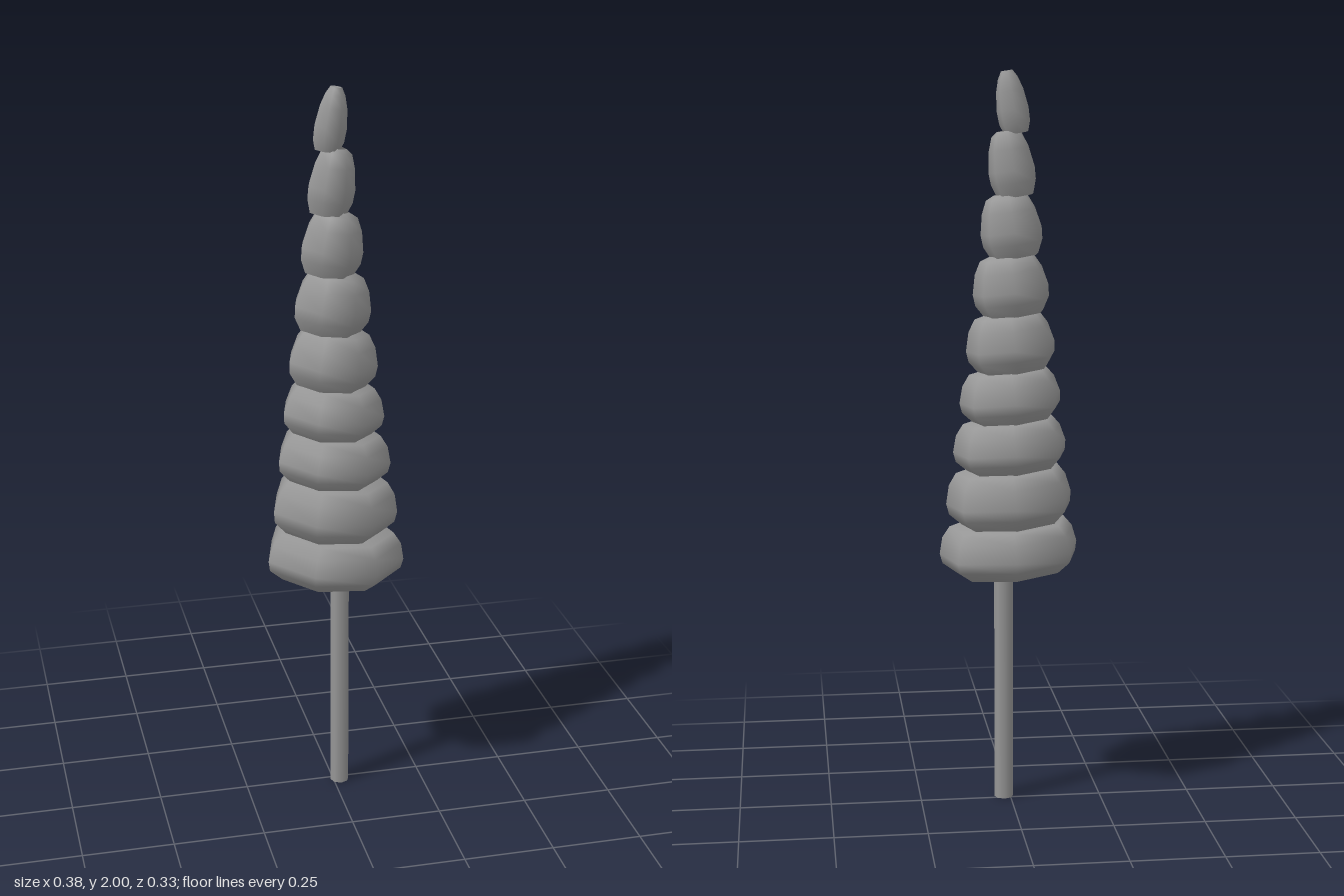
import * as THREE from 'three';

export function createModel() {
  const group = new THREE.Group();
  group.name = 'tieredTree';
  const material = new THREE.MeshStandardMaterial({ color: 0x969696, side: THREE.DoubleSide });

  // Trunk, slightly off centre
  const trunk = new THREE.Mesh(new THREE.CylinderGeometry(0.026, 0.026, 0.8, 8), material);
  trunk.name = 'trunk';
  trunk.position.set(0.018, 0.4, 0.013);
  group.add(trunk);

  // Unit profiles: [radius ratio, height ratio]; a repeated point makes a sharp edge
  const tierProfile = (top) => [
    [0.77, 0], [0.97, 0.22], [1, 0.42], [(1 + top) / 2 + 0.03, 0.76], [top, 0.98], [0.4, 1.05],
  ];
  const tipProfile = [
    [0.74, 0], [0.96, 0.16], [1, 0.38], [0.85, 0.68], [0.62, 0.88], [0.36, 1], [0.36, 1], [0, 1],
  ];
  const lathe = (profile) =>
    new THREE.LatheGeometry(profile.map(([r, y]) => new THREE.Vector2(r, y)), 7, Math.PI);

  // Foliage tiers: seven-sided bulges, shrinking upward and tipped towards +x
  const bottoms = [0.65, 0.785, 0.935, 1.07, 1.205, 1.355, 1.51, 1.67, 1.835, 1.999];
  const radii = [0.195, 0.177, 0.159, 0.142, 0.124, 0.106, 0.085, 0.064, 0.044];
  radii.forEach((r, i) => {
    const t = i / (radii.length - 1);
    const isTip = t === 1;
    const tier = new THREE.Mesh(lathe(isTip ? tipProfile : tierProfile(0.83 - 0.2 * t)), material);
    tier.name = isTip ? 'tip' : `foliageTier${i + 1}`;
    tier.position.set(-0.003 - 0.013 * t, bottoms[i], 0.008 * (1 - t));
    tier.rotation.z = -(0.075 + 0.085 * t);
    tier.scale.set(r, bottoms[i + 1] - bottoms[i], r * 0.88);
    group.add(tier);
  });

  return group;
}
